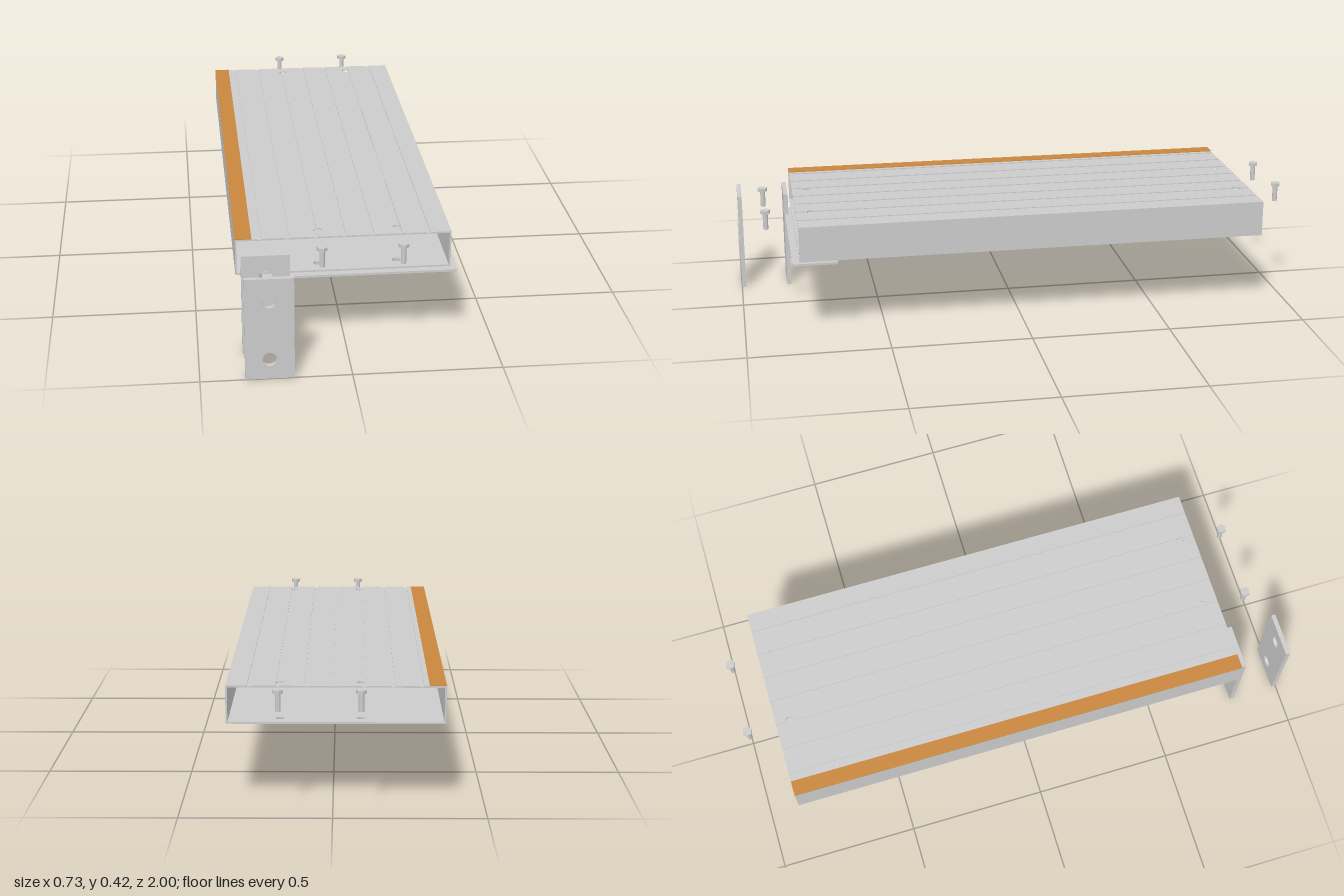
import * as THREE from 'three';

const grey = new THREE.MeshStandardMaterial({ color: 0xcccccc, flatShading: true });
const orange = new THREE.MeshStandardMaterial({ color: 0xc8863c, flatShading: true });

const X0 = -0.369, X1 = 0.349, Z0 = -0.88, Z1 = 0.8; // tread outline
const BOTTOM = 0.282, TOP = 0.41, WALL = 0.006, GROOVE = 0.003;
const HOLE_X = [-0.092, 0.174], HOLE_Z = [-0.83, 0.745], HOLE_R = 0.014;

function add(parent, name, geometry, material = grey) {
  const mesh = new THREE.Mesh(geometry, material);
  mesh.name = name;
  parent.add(mesh);
  return mesh;
}

function box(parent, name, x0, x1, y0, y1, z0, z1, material) {
  const mesh = add(parent, name, new THREE.BoxGeometry(x1 - x0, y1 - y0, z1 - z0), material);
  mesh.position.set((x0 + x1) / 2, (y0 + y1) / 2, (z0 + z1) / 2);
  return mesh;
}

// Rectangle with round holes given as [x, y, radius]
function drilled(x0, x1, y0, y1, holes) {
  const shape = new THREE.Shape([[x0, y0], [x1, y0], [x1, y1], [x0, y1]].map(p => new THREE.Vector2(...p)));
  for (const [x, y, r] of holes) shape.holes.push(new THREE.Path().absarc(x, y, r, 0, Math.PI * 2, true));
  return shape;
}

const extrude = (shape, depth) =>
  new THREE.ExtrudeGeometry(shape, { depth, bevelEnabled: false, curveSegments: 16 });

// Extrusion laid flat: shape y becomes -z, thickness rises from y
function flat(shape, y, thickness) {
  return extrude(shape, thickness).rotateX(-Math.PI / 2).translate(0, y, 0);
}

function sheet(x0, x1, z0, z1, y, thickness) {
  const holes = HOLE_X.flatMap(x => HOLE_Z.filter(z => z > z0 && z < z1).map(z => [x, -z, HOLE_R]));
  return flat(drilled(x0, x1, -z1, -z0, holes), y, thickness);
}

// Points up one long edge of a rib, notched where a bolt hole crosses it
function ribEdge(x, isLeft) {
  const points = [new THREE.Vector2(x, -Z1)];
  const cx = HOLE_X.find(c => Math.abs(c - x) < HOLE_R);
  if (cx !== undefined) {
    const a = Math.acos((x - cx) / HOLE_R);
    const [from, to] = isLeft ? [-a, a] : [2 * Math.PI - a, a];
    for (const z of [...HOLE_Z].reverse()) {
      for (let i = 0; i <= 10; i++) {
        const t = from + (to - from) * i / 10;
        points.push(new THREE.Vector2(cx + HOLE_R * Math.cos(t), -z + HOLE_R * Math.sin(t)));
      }
    }
  }
  points.push(new THREE.Vector2(x, -Z0));
  return points;
}

function createTread() {
  const tread = new THREE.Group();
  tread.name = 'hollowTread';
  add(tread, 'bottomSheet', sheet(X0, X1, Z0, Z1, BOTTOM, WALL));
  add(tread, 'topSheet', sheet(X0, X1, Z0, Z1, TOP - WALL, WALL - GROOVE));
  box(tread, 'leftWall', X1 - WALL, X1, BOTTOM + WALL, TOP - WALL, Z0, Z1);
  box(tread, 'rightWall', X0, X0 + WALL, BOTTOM + WALL, TOP - WALL, Z0, Z1);

  // Raised ribs separated by seven grooves
  const edges = [X0];
  for (let i = 0; i < 7; i++) {
    const center = -0.289 + i * 0.0935;
    edges.push(center - 0.007, center + 0.007);
  }
  edges.push(X1);
  for (let i = 0; i < edges.length; i += 2) {
    const outline = [...ribEdge(edges[i + 1], false), ...ribEdge(edges[i], true).reverse()];
    add(tread, 'topRib', flat(new THREE.Shape(outline), TOP - GROOVE, GROOVE));
  }
  box(tread, 'nosingStrip', X0, -0.314, TOP, TOP + 0.002, Z0, Z1, orange);
  return tread;
}

// Hex-headed bolt, shank hanging below the head
function createBolt(x, z) {
  const bolt = new THREE.Group();
  bolt.name = 'bolt';
  const head = add(bolt, 'boltHead', new THREE.CylinderGeometry(0.018, 0.018, 0.012, 6));
  head.position.y = 0.418;
  head.rotation.y = Math.PI / 12;
  const smooth = new THREE.MeshStandardMaterial({ color: 0xcccccc });
  add(bolt, 'boltShank', new THREE.CylinderGeometry(0.009, 0.009, 0.059, 20), smooth).position.y = 0.3825;
  bolt.position.set(x, 0, z);
  return bolt;
}

export function createModel() {
  const model = new THREE.Group();
  model.name = 'stairTreadAssembly';
  model.add(createTread());

  // Support plate under the front end
  add(model, 'supportPlate', sheet(-0.282, 0.365, 0.668, 0.826, 0.274, 0.008));

  // Two upright hanger plates with two holes each
  const hanger = extrude(drilled(-0.352, -0.19, 0, 0.362,
    [[-0.2715, 0.2815, 0.024], [-0.2715, 0.071, 0.024]]), 0.016);
  for (const z of [0.812, 0.984]) add(model, 'hangerPlate', hanger).position.z = z;

  // Loose bolts beyond each end
  for (const x of HOLE_X) for (const z of [-0.983, 0.907]) model.add(createBolt(x, z));
  return model;
}
